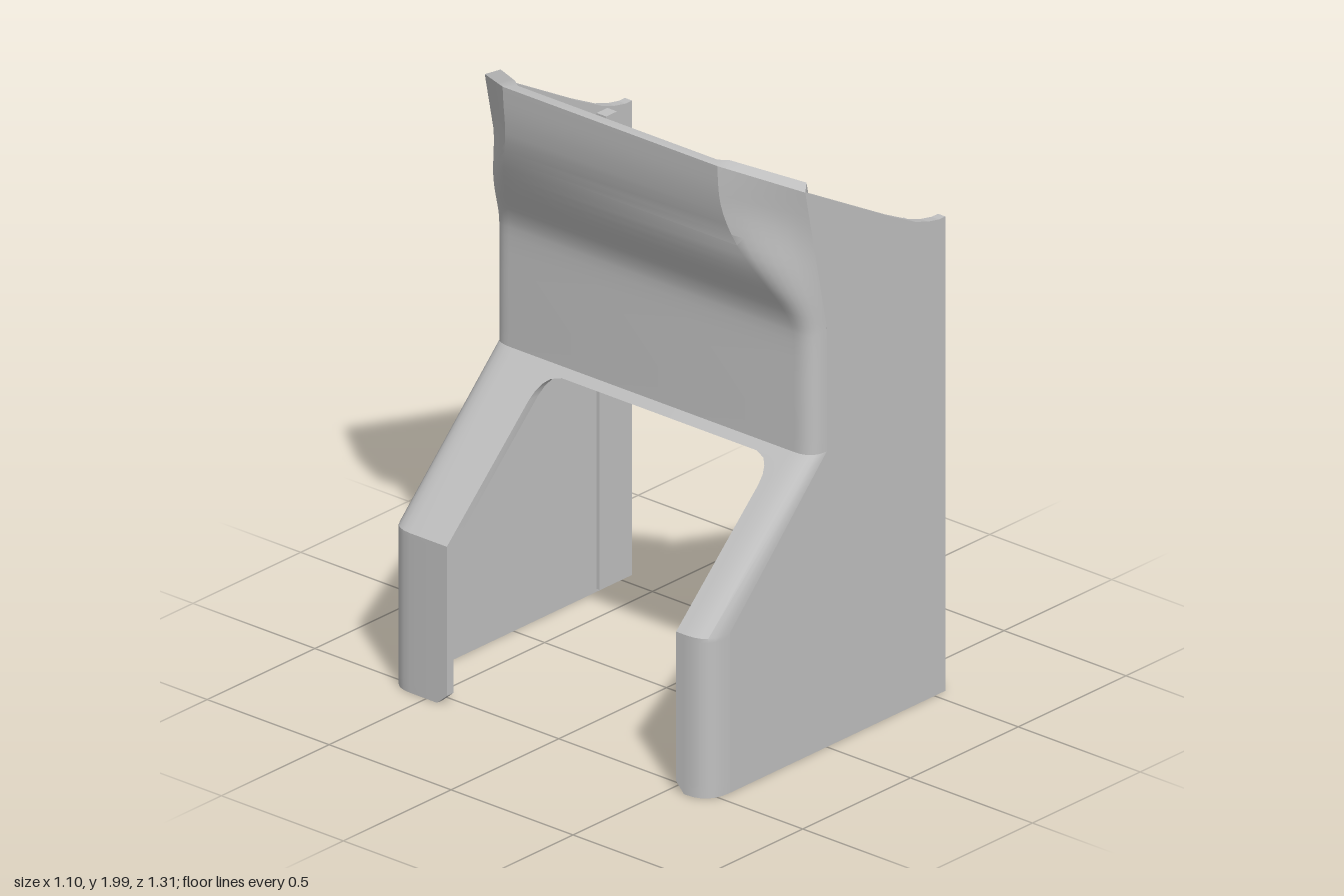
import * as THREE from 'three';
import { toCreasedNormals } from 'three/addons/utils/BufferGeometryUtils.js';

const Z = 0.657, T = 0.03; // outer half width, wall thickness
const { lerp, clamp, smoothstep } = THREE.MathUtils;

// quadratic curve in plan, points are [x, z]
function bend(a, b, c, n) {
  const out = [];
  for (let i = 0; i <= n; i++) {
    const t = i / n, u = 1 - t;
    out.push([0, 1].map(k => u * u * a[k] + 2 * u * t * b[k] + t * t * c[k]));
  }
  return out;
}

// thick sheet through rows of { outer, inner } points, closed on all sides
function loftSheet(rows, flip) {
  const n = rows[0].outer.length, m = 2 * n, pos = [], idx = [];
  rows.forEach(r => [...r.outer, ...[...r.inner].reverse()].forEach(p => pos.push(...p)));
  const quad = (a, b, c, d) => flip ? idx.push(a, c, b, a, d, c) : idx.push(a, b, c, a, c, d);
  for (let j = 0; j < rows.length - 1; j++)
    for (let i = 0; i < m; i++) {
      const k = (i + 1) % m;
      quad(j * m + i, j * m + k, (j + 1) * m + k, (j + 1) * m + i);
    }
  const top = (rows.length - 1) * m;
  for (let i = 0; i < n - 1; i++) {
    quad(i + 1, i, m - 1 - i, m - 2 - i);
    quad(top + i, top + i + 1, top + m - 2 - i, top + m - 1 - i);
  }
  const g = new THREE.BufferGeometry();
  g.setAttribute('position', new THREE.Float32BufferAttribute(pos, 3));
  g.setIndex(idx);
  return toCreasedNormals(g, 0.6);
}

// upper back wall: upright below, flaring outwards with chamfered corners above
function hoodGeometry() {
  const curve = new THREE.SplineCurve([[1, -0.07], [1.2, -0.07], [1.4, -0.07], [1.47, -0.08], [1.53, -0.105],
    [1.6, -0.145], [1.7, -0.2], [1.8, -0.235], [1.9, -0.255], [2, -0.263]].map(p => new THREE.Vector2(...p)));
  const rows = [];
  for (let j = 0; j <= 27; j++) {
    const p = curve.getPoint(j / 27), t = p.x - 1, xw = p.y;
    const k = smoothstep(p.x, 1.4, 1.9);
    const xe = lerp(0, -0.1, clamp((1 + 0.91 * t - 1.42) / 0.49, 0, 1));
    const side = (dx, de, dz) => {
      const a = [xe + de, Z - dz], c = [xw + dx, lerp(0.585, 0.44, k) - dz];
      const b = [lerp(xw + dx, (a[0] + c[0]) / 2, k), lerp(Z - dz, (a[1] + c[1]) / 2, k)];
      const half = bend(a, b, c, 7);
      return [...half.map(q => [q[0], -q[1]]), ...half.reverse()].map(([x, z]) => {
        const w = Math.abs(z);
        const top = w < 0.44 ? 2 - 0.01 * w / 0.44 : lerp(1.99, 1.91, (w - 0.44) / (Z - 0.44));
        return [x, 1 + t * (top - 1), z];
      });
    };
    rows.push({ outer: side(0, 0, 0), inner: side(0.035, 0.04, T) });
  }
  return loftSheet(rows, true);
}

// rounded return flange of one leg, sloping up to a lip under the back wall
function flangeGeometry(sign, zIn) {
  const R = 0.07, cut = 0.905;
  const levels = [[0], [0.04], [0.525], [0.54], [0.905], [0.93], [0.95], [0.965], [0.975], [0.975, 0], [1, 0]];
  const rows = levels.map(([y, full]) => {
    const s = clamp((y - 0.54) / 0.46, 0, 1);
    const xo = lerp(-0.55, -0.07, s), r = lerp(0.1, 0.07, s), th = y < 0.53 ? T : 0.042;
    let zi = zIn;
    if (y > cut) zi -= R - Math.sqrt(Math.max(0, R * R - (y - cut) ** 2));
    if (full === 0) zi = 0;
    const line = (x, z) => [[x, zi], [x, Math.min(zi + 0.04, Z - 0.1)],
      ...bend([x, Z - 0.09], [x, z], [xo + r, z], 6)]
      .map((p, i) => [p[0], y === 0 && i === 0 ? 0.035 : y, sign * p[1]]);
    return { outer: line(xo, Z), inner: line(xo + th, Z - T) };
  });
  return loftSheet(rows, sign < 0);
}

// flat side wall
function panelGeometry() {
  const pts = [[0.55, 0], [0.55, 1.605], [0.52, 1.605], [0.47, 1.615], [0.41, 1.635], [0.36, 1.66], [0.3, 1.69],
    [-0.1, 1.91], [0, 1.42], [0, 1], [-0.45, 0.54], [-0.45, 0]].map(p => new THREE.Vector2(...p));
  return new THREE.ExtrudeGeometry(new THREE.Shape(pts), { depth: T, bevelEnabled: false });
}

export function createModel() {
  const model = new THREE.Group();
  const grey = new THREE.MeshStandardMaterial({ color: 0xc0c0c0, side: THREE.DoubleSide });
  grey.name = 'plain grey';
  const add = (name, geometry, x = 0, y = 0, z = 0) => {
    const mesh = new THREE.Mesh(geometry, grey);
    mesh.name = name;
    mesh.position.set(x, y, z);
    model.add(mesh);
  };

  add('backWall', hoodGeometry());
  for (const [sign, label, zIn] of [[1, 'front', 0.525], [-1, 'rear', 0.415]]) {
    add(label + 'SidePanel', panelGeometry(), 0, 0, sign > 0 ? Z - T : -Z);
    add(label + 'LegFlange', flangeGeometry(sign, zIn));
    // guide rails on the inner face
    add(label + 'UpperRail', new THREE.BoxGeometry(0.05, 0.52, 0.045), 0.41, 1.36, sign * 0.61);
    add(label + 'LowerRail', new THREE.BoxGeometry(0.05, 0.82, 0.02), 0.41, 0.42, sign * 0.625);
  }
  return model;
}
